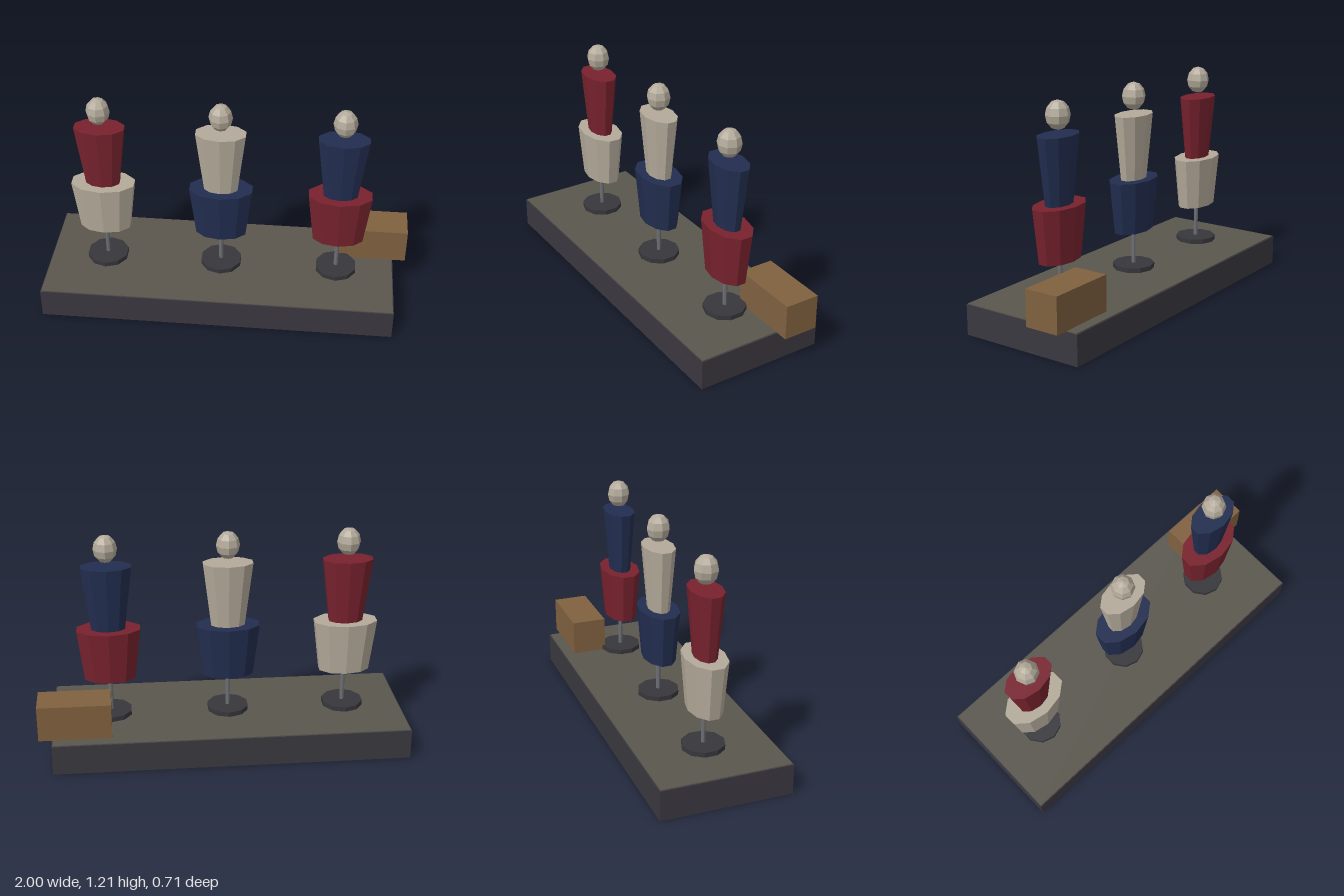
import * as THREE from 'three';

const mat = (name, color) => {
  const m = new THREE.MeshStandardMaterial({ color, flatShading: true });
  m.name = name;
  return m;
};

export function createModel() {
  const charcoal = mat('charcoal', 0x3a383f);
  const carpet = mat('carpet grey', 0x5a564e);
  const black = mat('stand black', 0x37363b);
  const steel = mat('steel', 0x6b6e73);
  const cream = mat('cream', 0xb3aa9a);
  const red = mat('red', 0x78222e);
  const navy = mat('navy', 0x222e50);
  const wood = mat('wood', 0x80613f);

  const root = new THREE.Group();
  root.name = 'mannequinDisplay';

  const add = (parent, name, geometry, material, x, y, z) => {
    const mesh = new THREE.Mesh(geometry, material);
    mesh.name = name;
    mesh.position.set(x, y, z);
    parent.add(mesh);
    return mesh;
  };

  // Platform with a thin top covering
  add(root, 'platform', new THREE.BoxGeometry(1.93, 0.165, 0.71), charcoal, -0.035, 0.0825, 0);
  add(root, 'platformTop', new THREE.BoxGeometry(1.92, 0.006, 0.7), carpet, -0.035, 0.167, 0);

  // Wooden crate overhanging the back corner
  add(root, 'crate', new THREE.BoxGeometry(0.39, 0.195, 0.192), wood, 0.805, 0.267, -0.195);

  // Tapered oval body section
  const oval = (top, bottom, height) =>
    new THREE.CylinderGeometry(top, bottom, height, 10).scale(1, 1, 0.6);

  const disc = new THREE.CylinderGeometry(0.115, 0.115, 0.029, 10);
  const pole = new THREE.CylinderGeometry(0.012, 0.012, 0.22, 8);
  const skirt = oval(0.179, 0.143, 0.29);
  const torso = oval(0.14, 0.095, 0.355);
  const head = new THREE.SphereGeometry(0.064, 8, 6).scale(1, 1.19, 1);

  // Three dress forms on stands
  [[-0.68, red, cream], [-0.035, cream, navy], [0.61, navy, red]].forEach(([x, top, bottom]) => {
    const form = new THREE.Group();
    form.name = 'dressForm';
    form.position.x = x;
    root.add(form);
    add(form, 'standDisc', disc, black, 0, 0.182, 0);
    add(form, 'standPole', pole, steel, 0, 0.3, 0);
    add(form, 'skirt', skirt, bottom, 0, 0.535, 0);
    add(form, 'torso', torso, top, 0, 0.8575, 0);
    add(form, 'head', head, cream, 0, 1.132, 0);
  });

  return root;
}
